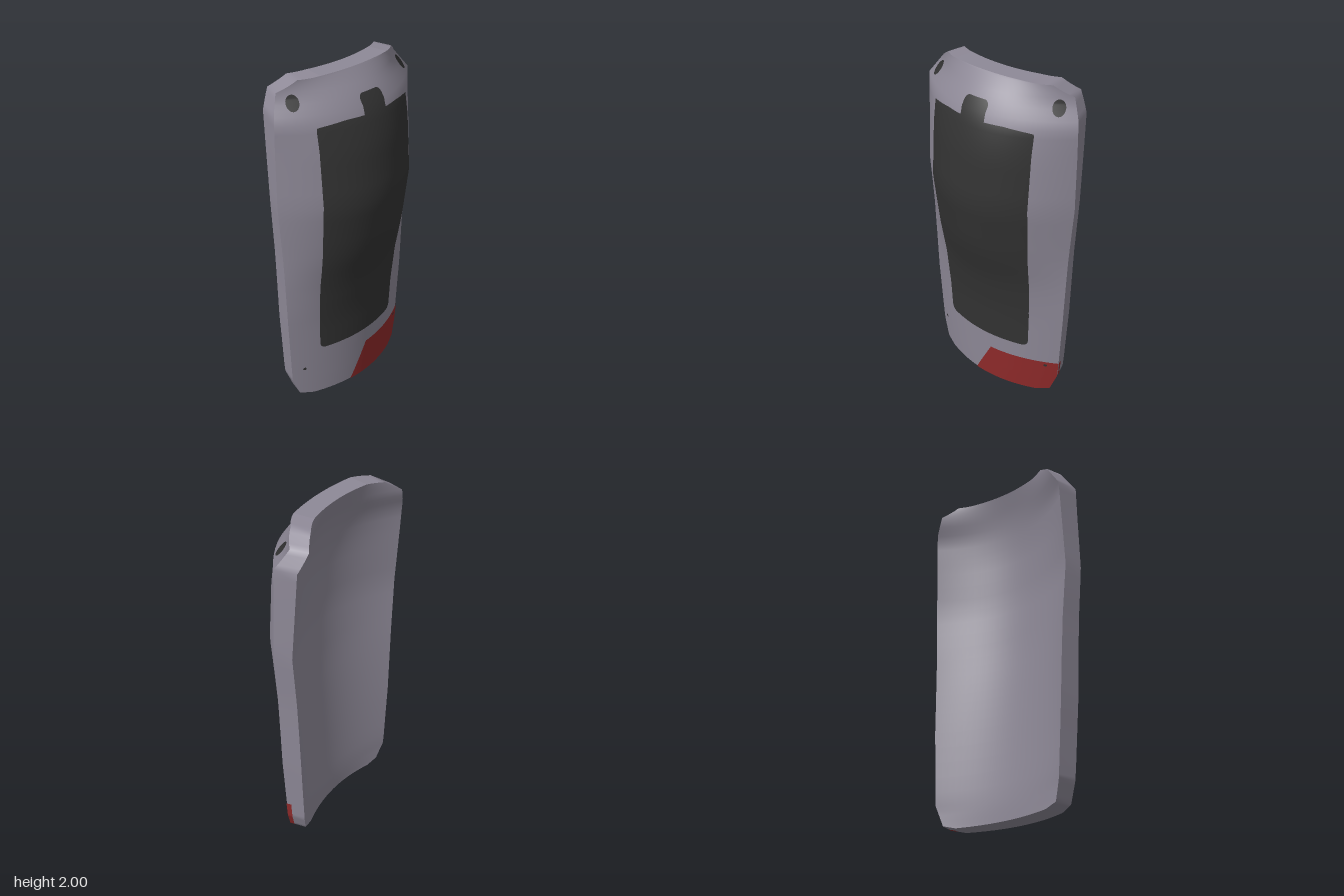
import * as THREE from 'three';

// Profile of the guard by height: y, half width, front centre z, front curve, back centre z, back curve
const PROFILE = [
  [0, 0.32, 0.04, 0.66, -0.088, 0.55],
  [0.02, 0.4, 0.042, 0.66, -0.09, 0.46],
  [0.13, 0.44, 0.047, 0.65, -0.088, 0.52],
  [0.2, 0.445, 0.05, 0.64, -0.082, 0.55],
  [0.55, 0.465, 0.065, 0.62, -0.052, 0.66],
  [0.78, 0.473, 0.1, 0.75, -0.032, 0.72],
  [1, 0.482, 0.165, 1, -0.012, 0.77],
  [1.32, 0.505, 0.22, 1.12, 0.005, 0.74],
  [1.64, 0.498, 0.19, 1.06, -0.005, 0.81],
  [1.83, 0.493, 0.14, 0.88, -0.033, 0.75],
  [1.93, 0.43, 0.07, 1.06, -0.065, 0.96],
  [1.99, 0.34, 0.027, 0.78, -0.087, 0.8],
  [2, 0.24, 0.02, 0.4, -0.09, 0.55],
];

function lookup(points, y, k) {
  let i = 0;
  while (i < points.length - 2 && y > points[i + 1][0]) i++;
  const a = points[i], b = points[i + 1];
  const t = THREE.MathUtils.clamp((y - a[0]) / (b[0] - a[0]), 0, 1);
  return a[k] + (b[k] - a[k]) * t;
}

const halfWidth = (y) => lookup(PROFILE, y, 1);
const frontZ = (x, y) => lookup(PROFILE, y, 2) - lookup(PROFILE, y, 3) * x * x;
const backZ = (x, y) => lookup(PROFILE, y, 4) - lookup(PROFILE, y, 5) * x * x;

// Softened surface normal, measured over a wide step
function normalOf(zAt, x, y) {
  const h = 0.09, y0 = Math.max(0, y - h), y1 = Math.min(2, y + h);
  const dx = (zAt(x + h, y) - zAt(x - h, y)) / (2 * h);
  const dy = (zAt(x, y1) - zAt(x, y0)) / (y1 - y0);
  return new THREE.Vector3(-dx, -dy, 1).normalize();
}

// Indexed sheet of (rows + 1) x (cols + 1) points; at(i, j) gives { p, n }
function sheet(rows, cols, at, flip = false) {
  const pos = [], nor = [], index = [];
  for (let i = 0; i <= rows; i++) {
    for (let j = 0; j <= cols; j++) {
      const { p, n } = at(i, j);
      pos.push(p.x, p.y, p.z);
      if (n) nor.push(n.x, n.y, n.z);
      if (i === rows || j === cols) continue;
      const a = i * (cols + 1) + j, b = a + 1, d = a + cols + 1, c = d + 1;
      if (flip) index.push(a, d, b, b, d, c);
      else index.push(a, b, d, b, c, d);
    }
  }
  const g = new THREE.BufferGeometry();
  g.setAttribute('position', new THREE.Float32BufferAttribute(pos, 3));
  g.setIndex(index);
  if (nor.length) g.setAttribute('normal', new THREE.Float32BufferAttribute(nor, 3));
  else g.computeVertexNormals();
  return g;
}

// Painted area lying on the front, between left(y) and right(y)
function paint(y0, y1, left, right, lift, rows = 40, cols = 24) {
  return sheet(rows, cols, (i, j) => {
    // rows crowd towards both ends so that rounded corners stay round
    const y = y0 + (y1 - y0) * (0.5 - 0.5 * Math.cos(Math.PI * i / rows));
    const x = THREE.MathUtils.lerp(left(y), right(y), j / cols);
    const n = normalOf(frontZ, x, y);
    return { p: new THREE.Vector3(x, y, frontZ(x, y)).addScaledVector(n, lift), n };
  });
}

// How far a rounded corner of radius r pulls the side in at height y
function cornerInset(y, y0, y1, r) {
  const d = Math.max(0, r - Math.min(y - y0, y1 - y));
  return r - Math.sqrt(Math.max(0, r * r - d * d));
}

export function createModel() {
  const shellGrey = new THREE.MeshStandardMaterial({ color: 0x8e8997 });
  const darkGrey = new THREE.MeshStandardMaterial({ color: 0x333333 });
  const deepRed = new THREE.MeshStandardMaterial({ color: 0x8f2a2a });
  const model = new THREE.Group();
  model.name = 'shinGuard';
  const add = (name, geometry, material) => {
    const mesh = new THREE.Mesh(geometry, material);
    mesh.name = name;
    model.add(mesh);
  };

  // Heights of the shell rows: profile knots, each span divided in four
  const ys = [];
  PROFILE.forEach(([y], i) => {
    const next = PROFILE[i + 1];
    if (next) for (let s = 0; s < 4; s++) ys.push(y + (next[0] - y) * s / 4);
    else ys.push(y);
  });
  const rows = ys.length - 1, cols = 24, BACK = 0.935;

  // Curved front and back of the shell
  const frontPoint = (t, y) => {
    const x = t * halfWidth(y);
    return new THREE.Vector3(x, y, frontZ(x, y));
  };
  const backPoint = (t, y) => {
    const x = t * halfWidth(y) * BACK;
    return new THREE.Vector3(x, y, backZ(x, y));
  };
  add('shellFront', sheet(rows, cols, (i, j) => {
    const p = frontPoint(j / cols * 2 - 1, ys[i]);
    return { p, n: normalOf(frontZ, p.x, p.y) };
  }), shellGrey);
  add('shellBack', sheet(rows, cols, (i, j) => {
    const p = backPoint(j / cols * 2 - 1, ys[i]);
    return { p, n: normalOf(backZ, p.x, p.y).negate() };
  }, true), shellGrey);

  // Rim walls joining front to back: sides, top and bottom
  const rim = (name, path) => add(name, sheet(path.length - 1, 1, (i, j) => ({
    p: j ? backPoint(...path[i]) : frontPoint(...path[i]),
  })), shellGrey);
  const across = Array.from({ length: cols + 1 }, (_, j) => j / cols * 2 - 1);
  rim('leftRim', ys.map((y) => [1, y]));
  rim('rightRim', ys.map((y) => [-1, y]).reverse());
  rim('topRim', across.map((t) => [-t, 2]));
  rim('bottomRim', across.map((t) => [t, 0]));

  // Dark front panel with rounded corners and a slightly crowned top, and its tab
  const LEFT = [[0.33, -0.29], [0.9, -0.31], [1.3, -0.33], [1.8, -0.33]];
  const RIGHT = [[0.33, 0.28], [0.6, 0.29], [1.0, 0.308], [1.3, 0.322], [1.8, 0.322]];
  const inset = (y) => cornerInset(y, 0.335, 1.785, 0.035) + 0.12 * Math.max(0, (y - 1.765) / 0.02);
  add('frontPanel', paint(0.335, 1.785, (y) => lookup(LEFT, y, 1) + inset(y),
    (y) => lookup(RIGHT, y, 1) - inset(y), 0.005, 90), darkGrey);
  const tabInset = (y) => cornerInset(y, 1.7, 1.885, 0.03);
  add('panelTab', paint(1.77, 1.885, (y) => -0.08 + tabInset(y),
    (y) => 0.072 - tabInset(y), 0.005), darkGrey);

  // Red corner with a slanted end, wrapping onto the left rim
  add('redCorner', paint(0, 0.23, (y) => -0.08 + 0.12 * y / 0.23, halfWidth, 0.004), deepRed);
  add('redRim', sheet(24, 2, (i, j) => {
    const y = 0.01 + 0.222 * i / 24;
    const p = frontPoint(1, y).lerp(backPoint(1, y), j * 0.14);
    p.x += 0.004;
    return { p };
  }), deepRed);

  // Round spots: large ones at the top corners, tiny ones at the bottom
  const spot = (name, cx, cy, rx, ry, slant) => {
    const half = (y) => rx * Math.sqrt(Math.max(0, 1 - ((y - cy) / ry) ** 2));
    const mid = (y) => cx + slant * (y - cy);
    add(name, paint(cy - ry, cy + ry, (y) => mid(y) - half(y), (y) => mid(y) + half(y), 0.007, 16, 6), darkGrey);
  };
  for (const [side, s] of [['left', 1], ['right', -1]]) {
    spot(side + 'TopSpot', s * 0.39, 1.887, 0.027, 0.036, -s * 0.4);
    spot(side + 'BottomSpot', s * 0.378, 0.207, 0.01, 0.009, 0);
  }
  return model;
}
